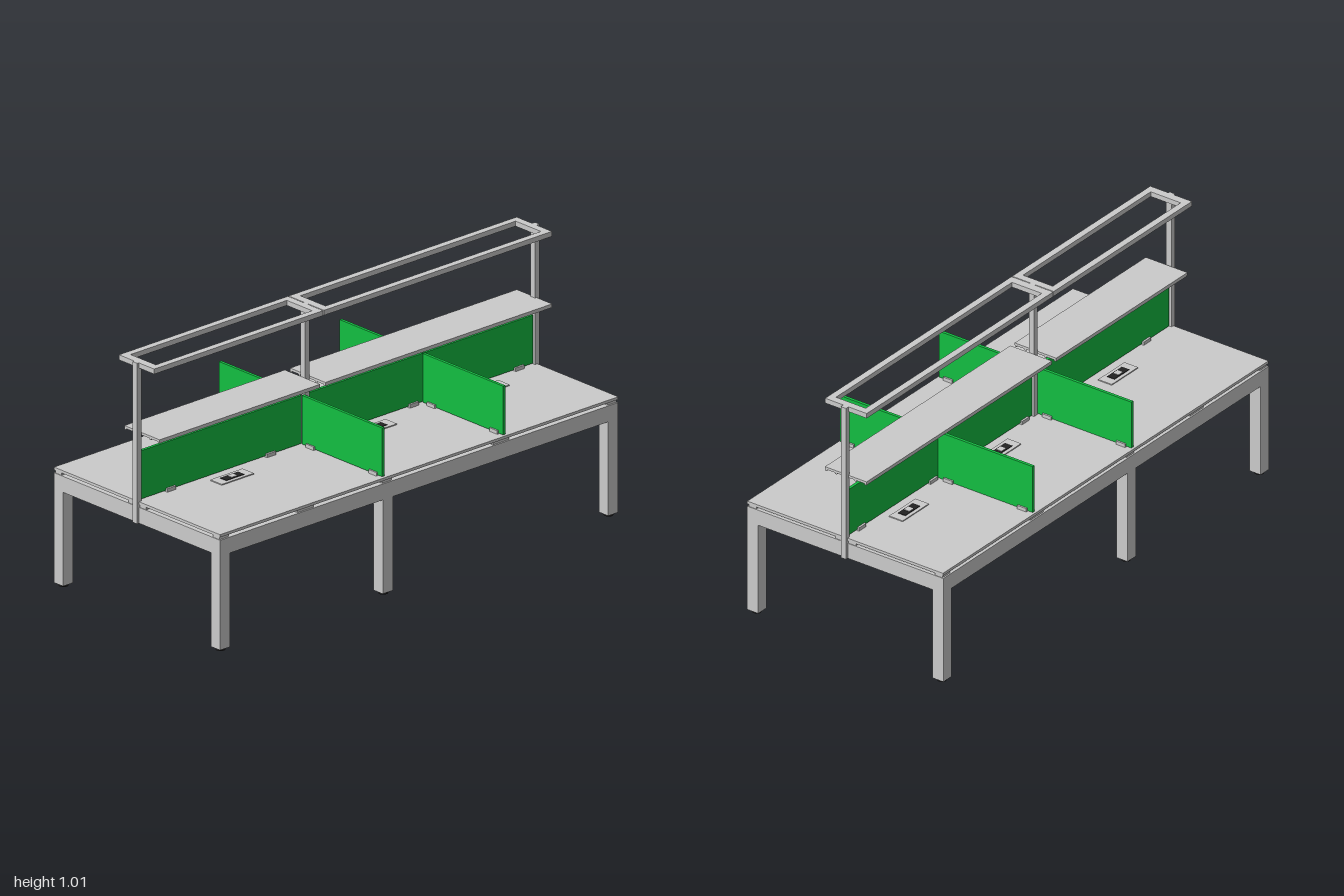
import * as THREE from 'three';

const grey = new THREE.MeshStandardMaterial({ color: 0xcccccc });
const green = new THREE.MeshStandardMaterial({ color: 0x13be41 });
const black = new THREE.MeshStandardMaterial({ color: 0x222222 });

export function createModel() {
  const model = new THREE.Group();

  const add = (name, geometry, material = grey) => {
    const mesh = new THREE.Mesh(geometry, material);
    mesh.name = name;
    model.add(mesh);
    return mesh;
  };
  // Box given by its limits on each axis
  const box = (name, x0, x1, y0, y1, z0, z1, material) =>
    add(name, new THREE.BoxGeometry(x1 - x0, y1 - y0, z1 - z0), material)
      .position.set((x0 + x1) / 2, (y0 + y1) / 2, (z0 + z1) / 2);

  const sides = [-1, 1];
  const legXs = [-0.965, -0.157, 0.962];
  const half = 0.025;

  // Legs with feet, and the cross beams joining each pair
  for (const x of legXs) {
    for (const s of sides) {
      const z = s * 0.423;
      box('leg', x - half, x + half, 0.01, 0.38, z - half, z + half);
      const foot = add('foot', new THREE.CylinderGeometry(0.02, 0.018, 0.01, 16), black);
      foot.position.set(x, 0.005, z);
    }
    box('crossBeam', x - half, x + half, 0.38, 0.443, -0.398, 0.398);
  }
  // Long beams
  for (const s of sides) {
    const z = s * 0.423;
    box('longBeam', -0.99, 0.987, 0.38, 0.443, z - half, z + half);
  }

  // Worktop raised on spacers
  box('worktop', -0.99, 0.988, 0.454, 0.465, -0.447, 0.447);
  for (const [x, w] of [[-0.965, 0.045], [-0.56, 0.08], [-0.157, 0.045], [0.41, 0.08], [0.962, 0.045]])
    for (const s of sides) {
      const z = s * 0.425;
      box('spacer', x - w / 2, x + w / 2, 0.443, 0.454, z - 0.017, z + 0.017);
      if (w < 0.05) box('spacer', x - w / 2, x + w / 2, 0.443, 0.454, s * 0.03 - 0.017, s * 0.03 + 0.017);
    }

  // Upright posts and their mounting brackets
  box('endPost', -1, -0.978, 0.38, 1.013, -0.012, 0.012);
  box('endPost', 0.976, 0.998, 0.38, 1.013, -0.012, 0.012);
  box('middlePost', -0.166, -0.144, 0.443, 1.013, -0.012, 0.012);
  box('postBracket', -0.945, -0.93, 0.38, 0.44, -0.03, 0.03);
  box('postBracket', 0.928, 0.943, 0.38, 0.44, -0.03, 0.03);

  // Centre screens
  for (const [a, b] of [[-0.972, -0.178], [-0.14, 0.426], [0.43, 0.972]])
    box('centreScreen', a, b, 0.47, 0.66, -0.006, 0.006, green);
  for (const x of [-0.83, -0.335, -0.09, 0.375, 0.465, 0.9])
    box('screenClip', x - 0.022, x + 0.022, 0.465, 0.479, -0.014, 0.014);

  // Side dividers on both faces of the centre screen
  for (const x of [-0.172, 0.428])
    for (const s of sides) {
      const [z0, z1] = s > 0 ? [0.008, 0.44] : [-0.44, -0.008];
      box('divider', x - 0.006, x + 0.006, 0.468, 0.66, z0, z1, green);
      for (const z of [0.057, 0.395])
        box('dividerClip', x - 0.013, x + 0.013, 0.465, 0.479, s * z - 0.021, s * z + 0.021);
    }

  // Power sockets set in the worktop
  for (const x of [-0.58, 0.13, 0.69])
    for (const s of sides) {
      const z = s * 0.068;
      box('socketPlate', x - 0.08, x + 0.08, 0.465, 0.469, z - 0.031, z + 0.031);
      box('socketInsert', x - 0.045, x + 0.045, 0.469, 0.471, z - 0.017, z + 0.017, black);
      box('socketOutlet', x - 0.012, x + 0.014, 0.471, 0.473, z - 0.012, z + 0.012);
    }

  // Shelves with ribs and tapered brackets below
  for (const [a, b] of [[-0.965, -0.168], [-0.142, 0.984]]) {
    box('shelf', a, b, 0.717, 0.727, -0.095, 0.095);
    for (const z of [-0.09, -0.045, 0.045, 0.09])
      box('shelfRib', a, b, 0.712, 0.717, z - 0.004, z + 0.004);
  }
  const taper = new THREE.Shape([[-0.085, 0.717], [-0.048, 0.704], [0.048, 0.704], [0.085, 0.717]]
    .map(([z, y]) => new THREE.Vector2(z, y)));
  const bracket = new THREE.ExtrudeGeometry(taper, { depth: 0.026, bevelEnabled: false });
  bracket.translate(0, 0, -0.013).rotateY(Math.PI / 2);
  for (const x of [-0.83, -0.58, -0.33, -0.085, 0.195, 0.495, 0.81])
    add('shelfBracket', bracket).position.x = x;

  // Open overhead frames
  for (const [a, b] of [[-0.992, -0.153], [-0.149, 0.983]]) {
    const outline = new THREE.Shape([[a, -0.095], [b, -0.095], [b, 0.095], [a, 0.095]]
      .map(p => new THREE.Vector2(...p)));
    const c = a + 0.033, d = b - 0.03;
    outline.holes.push(new THREE.Path([[c, -0.068], [c, 0.068], [d, 0.068], [d, -0.068]]
      .map(p => new THREE.Vector2(...p))));
    const frame = new THREE.ExtrudeGeometry(outline, { depth: 0.02, bevelEnabled: false });
    frame.rotateX(-Math.PI / 2);
    add('overheadFrame', frame).position.y = 0.993;
  }

  return model;
}
